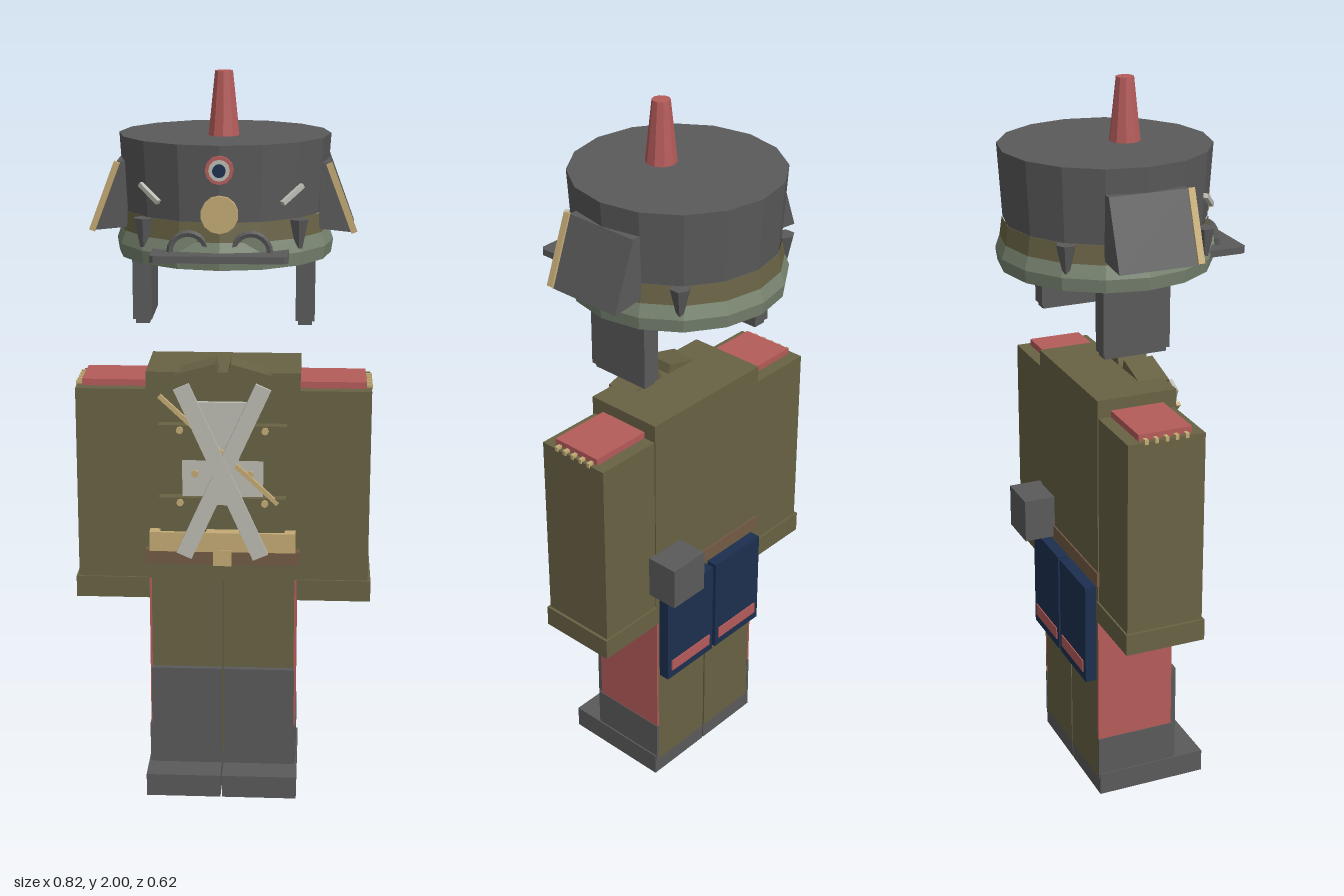
import * as THREE from 'three';

const mat = (name, color, extra = {}) => {
  const m = new THREE.MeshStandardMaterial({ color, flatShading: true, ...extra });
  m.name = name;
  return m;
};

export function createModel() {
  const root = new THREE.Group();
  root.name = 'soldierUniform';
  const olive = mat('olive cloth', 0x686244);
  const grey = mat('dark grey', 0x5a5a5a);
  const red = mat('red', 0xb55c5a);
  const navy = mat('navy', 0x1c2f4f);
  const gold = mat('gold', 0xc4ab74);
  const white = mat('off white', 0xbcbcb4);
  const green = mat('grey green', 0x788470, { side: THREE.DoubleSide });
  const brown = mat('brown leather', 0x735b44);

  const add = (name, geo, material, x = 0, y = 0, z = 0) => {
    const mesh = new THREE.Mesh(geo, material);
    mesh.name = name;
    mesh.position.set(x, y, z);
    root.add(mesh);
    return mesh;
  };
  // box given by its extents
  const box = (name, material, x0, x1, y0, y1, z0, z1) =>
    add(name, new THREE.BoxGeometry(Math.abs(x1 - x0), y1 - y0, z1 - z0), material,
      (x0 + x1) / 2, (y0 + y1) / 2, (z0 + z1) / 2);
  // flat bar between two points of the front plane
  const bar = (name, material, x0, y0, x1, y1, z, width, depth) => {
    const m = add(name, new THREE.BoxGeometry(Math.hypot(x1 - x0, y1 - y0), width, depth), material,
      (x0 + x1) / 2, (y0 + y1) / 2, z);
    m.rotation.z = Math.atan2(y1 - y0, x1 - x0);
    return m;
  };
  // disc facing the front
  const disc = (name, material, x, y, z, r, depth, sides = 10) => {
    const m = add(name, new THREE.CylinderGeometry(r, r, depth, sides), material, x, y, z);
    m.rotation.x = Math.PI / 2;
    return m;
  };

  // torso and belt
  box('torso', olive, -0.208, 0.208, 0.62, 1.21, -0.133, 0.093);
  box('belt', brown, -0.212, 0.212, 0.67, 0.71, -0.137, 0.115);
  box('sash', gold, -0.2, 0.2, 0.71, 0.765, 0.09, 0.125);
  box('buckle', gold, -0.025, 0.025, 0.67, 0.715, 0.1, 0.127);
  box('waistFlap', olive, -0.07, 0.07, 0.615, 0.668, 0.09, 0.1);

  // chest panel, pockets and crossed straps
  box('upperPanel', white, -0.075, 0.075, 0.96, 1.13, 0.09, 0.107);
  box('lowerPanel', white, -0.11, 0.11, 0.84, 0.97, 0.09, 0.107);
  bar('strapA', white, -0.11, 1.18, 0.105, 0.7, 0.131, 0.045, 0.01);
  bar('strapB', white, 0.11, 1.18, -0.105, 0.7, 0.126, 0.045, 0.01);
  bar('cord', gold, -0.17, 1.15, 0.15, 0.85, 0.117, 0.012, 0.012);

  for (const s of [-1, 1]) {
    for (const y of [0.97, 0.765]) {
      box('pocket', olive, s * 0.045, s * 0.17, y, y + 0.085, 0.09, 0.115);
      box('pocketFlap', olive, s * 0.04, s * 0.173, y + 0.07, y + 0.1, 0.09, 0.122);
      disc('pocketButton', gold, s * 0.115, y + 0.087, 0.124, 0.01, 0.01, 8);
    }
    disc('panelButton', gold, s * 0.075, 0.93, 0.11, 0.01, 0.01, 8);

    // collar
    bar('collar', olive, s * 0.125, 1.185, s * 0.015, 1.215, 0.065, 0.045, 0.085);

    // arm
    box('arm', olive, s * 0.208, s * 0.4, 0.56, 1.16, -0.13, 0.087);
    box('cuff', olive, s * 0.2, s * 0.408, 0.56, 0.62, -0.135, 0.092);
    box('epaulette', red, s * 0.2, s * 0.385, 1.16, 1.178, -0.095, 0.055);
    for (let i = 0; i < 5; i++)
      box('fringe', gold, s * 0.387, s * 0.403, 1.155, 1.168, -0.084 + i * 0.0285, -0.074 + i * 0.0285);

    // leg and boot
    box('leg', olive, s * 0.003, s * 0.2, 0.05, 0.62, -0.13, 0.092);
    box('legStripe', red, s * 0.198, s * 0.204, 0.18, 0.62, -0.131, 0.0925);
    box('bootSide', grey, s * 0.198, s * 0.206, 0.05, 0.18, -0.131, 0.1);
    box('bootShaft', grey, s * 0.003, s * 0.2, 0.05, 0.355, 0.085, 0.108);
    box('foot', grey, s * 0.002, s * 0.21, 0, 0.065, -0.128, 0.19);

    // coat tail
    box('coatTail', navy, s * 0.006, s * 0.195, 0.37, 0.662, -0.165, -0.133);
    box('tailTrim', red, s * 0.02, s * 0.18, 0.395, 0.43, -0.168, -0.16);
  }
  box('pouch', grey, 0.11, 0.232, 0.677, 0.8, -0.222, -0.13);

  // hat
  const hz = -0.023;
  const ring = (rTop, rBottom, y0, y1, open) =>
    new THREE.CylinderGeometry(rTop, rBottom, y1 - y0, 16, 1, open);
  add('hatCrown', ring(0.28, 0.268, 1.64, 1.835, false), grey, 0, 1.7375, hz);
  add('hatBand', ring(0.27, 0.277, 1.59, 1.64, true), olive, 0, 1.615, hz);
  add('hatBrimUpper', ring(0.277, 0.289, 1.555, 1.59, true), green, 0, 1.5725, hz);
  add('hatBrimLower', ring(0.289, 0.284, 1.52, 1.555, true), green, 0, 1.5375, hz);
  add('hatLining', ring(0.272, 0.272, 1.53, 1.6, false), grey, 0, 1.565, hz);
  add('plume', new THREE.CylinderGeometry(0.024, 0.042, 0.167, 10), red, 0, 1.9165, 0.033);

  // visor with bevelled front corners
  const visorShape = new THREE.Shape();
  [[-0.175, -0.17], [0.175, -0.17], [0.175, -0.295], [0.165, -0.305], [-0.165, -0.305], [-0.175, -0.295]]
    .forEach(([x, y], i) => (i ? visorShape.lineTo(x, y) : visorShape.moveTo(x, y)));
  const visorGeo = new THREE.ExtrudeGeometry(visorShape, { depth: 0.018, bevelEnabled: false });
  visorGeo.rotateX(-Math.PI / 2);
  add('visor', visorGeo, grey, 0, 1.547, 0);

  // front badges
  disc('cockadeRim', red, 0, 1.775, 0.257, 0.036, 0.02, 12);
  disc('cockadeRing', white, 0, 1.775, 0.262, 0.027, 0.018, 12);
  disc('cockadeCentre', navy, 0, 1.775, 0.267, 0.017, 0.022, 12);
  disc('badge', gold, 0, 1.662, 0.252, 0.048, 0.016, 14);

  for (const s of [-1, 1]) {
    // goggles above the visor
    add('goggleRim', new THREE.TorusGeometry(0.047, 0.009, 5, 10, Math.PI), grey, s * 0.08, 1.565, 0.243);
    disc('goggleLens', green, s * 0.08, 1.565, 0.236, 0.045, 0.012, 12);

    // slanted light mark
    const mark = bar('mark', white, s * 0.15, 1.685, s * 0.215, 1.725, 0.188, 0.012, 0.012);
    mark.rotation.order = 'YXZ';
    mark.rotation.y = s * 0.7;
    if (s < 0) mark.rotation.z = Math.atan2(-0.04, 0.065);

    // studs round the brim
    for (const z of [0.172, -0.212])
      add('stud', new THREE.CylinderGeometry(0.027, 0.01, 0.075, 6), grey, s * 0.2, 1.602, z);

    // side flap: triangular prism with a gilded front edge
    const tri = new THREE.Shape();
    tri.moveTo(s * 0.255, 1.77);
    tri.lineTo(s * 0.278, 1.77);
    tri.lineTo(s * 0.345, 1.59);
    tri.lineTo(s * 0.25, 1.6);
    add('sideFlap', new THREE.ExtrudeGeometry(tri, { depth: 0.215, bevelEnabled: false }), grey, 0, 0, -0.13);
    bar('flapTrim', gold, s * 0.275, 1.77, s * 0.343, 1.592, 0.091, 0.016, 0.018);

    // cheek guard
    box('cheekGuard', grey, s * 0.192, s * 0.243, 1.345, 1.54, -0.13, 0.055);
    box('cheekGuardTip', grey, s * 0.199, s * 0.236, 1.333, 1.346, -0.124, 0.048);
  }

  return root;
}
